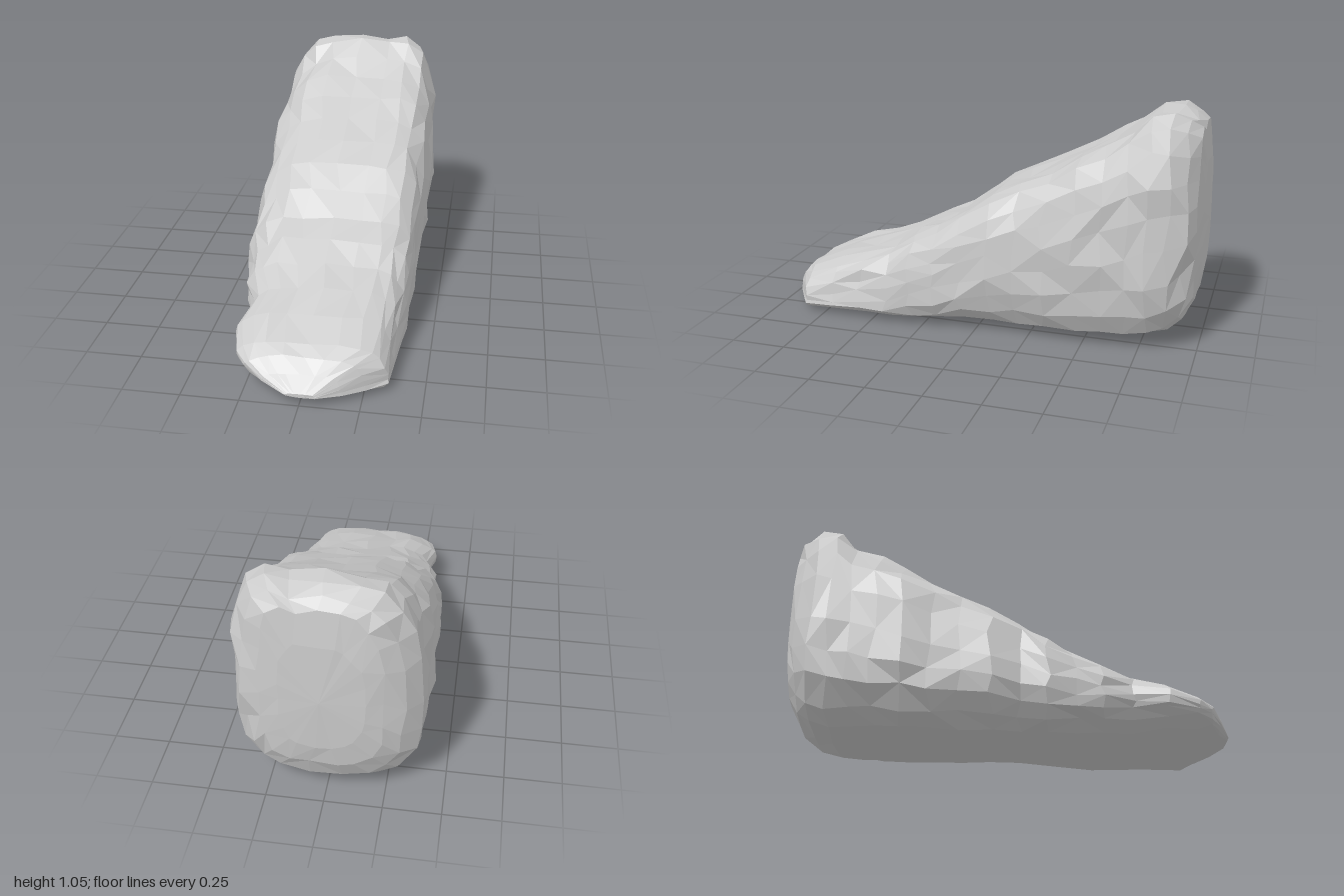
import * as THREE from 'three';

// Cross-sections from front toe to back wall: z, left x, right x, bottom y, top y
const SECTIONS = [
  [1.0, -0.06, 0.07, 0.043, 0.06],
  [0.95, -0.17, 0.17, 0.035, 0.12],
  [0.90, -0.25, 0.26, 0.03, 0.17],
  [0.84, -0.30, 0.35, 0.027, 0.20],
  [0.70, -0.33, 0.36, 0.022, 0.255],
  [0.56, -0.30, 0.37, 0.016, 0.305],
  [0.42, -0.35, 0.38, 0.01, 0.355],
  [0.30, -0.36, 0.39, 0.006, 0.41],
  [0.18, -0.395, 0.405, 0.012, 0.46],
  [0.06, -0.365, 0.395, 0.025, 0.55],
  [-0.07, -0.405, 0.395, 0.025, 0.635],
  [-0.20, -0.39, 0.40, 0.025, 0.70],
  [-0.33, -0.395, 0.41, 0.022, 0.765],
  [-0.46, -0.41, 0.41, 0.025, 0.835],
  [-0.58, -0.405, 0.41, 0.025, 0.905],
  [-0.69, -0.395, 0.405, 0.025, 0.965],
  [-0.78, -0.395, 0.405, 0.025, 1.04],
  [-0.86, -0.385, 0.385, 0.05, 1.04],
  [-0.93, -0.325, 0.335, 0.10, 1.015],
  [-0.97, -0.25, 0.26, 0.20, 0.98],
  [-0.99, -0.17, 0.18, 0.31, 0.82],
];

// Outlines of a section, anticlockwise from the right wall: x -1..1, y 0..1
const BODY = [
  [1, 0.45], [0.99, 0.6], [0.97, 0.73], [0.91, 0.86], [0.79, 0.96], [0.6, 1],
  [0.35, 0.99], [0, 1], [-0.35, 0.99], [-0.58, 0.965], [-0.76, 0.9], [-0.9, 0.8],
  [-0.97, 0.65], [-1, 0.45], [-1, 0.3], [-0.95, 0.18], [-0.8, 0.07], [-0.55, 0.01],
  [-0.2, 0], [0.2, 0], [0.55, 0.015], [0.79, 0.06], [0.92, 0.16], [0.985, 0.29],
];
const TOE = [
  [1, 0.18], [0.98, 0.35], [0.94, 0.55], [0.88, 0.75], [0.8, 0.9], [0.62, 0.97],
  [0.35, 1], [0, 1], [-0.35, 0.99], [-0.58, 0.96], [-0.76, 0.88], [-0.9, 0.76],
  [-0.97, 0.65], [-1, 0.55], [-0.97, 0.45], [-0.9, 0.36], [-0.78, 0.25], [-0.55, 0.13],
  [-0.2, 0.04], [0.2, 0], [0.55, 0], [0.8, 0], [0.93, 0.02], [0.99, 0.07],
];
const SIDES = BODY.length;

function seeded(seed) {
  return () => {
    seed = (seed * 16807) % 2147483647;
    return seed / 2147483647 - 0.5;
  };
}

function rockGeometry() {
  const rnd = seeded(4711);
  const { lerp, smoothstep, clamp } = THREE.MathUtils;
  const pos = [];
  const index = [];

  // each section blends from the body outline to the toe outline, then is chipped
  for (const [z, x0, x1, y0, y1] of SECTIONS) {
    const toe = smoothstep(z, 0.05, 0.85);
    const rough = 0.024 * Math.min(1, (y1 - y0) / 0.35);
    const depth = z < -0.95 ? 0.006 : rough * 1.3;
    for (let j = 0; j < SIDES; j++) {
      const u = lerp(BODY[j][0], TOE[j][0], toe);
      const v = lerp(BODY[j][1], TOE[j][1], toe);
      pos.push(
        lerp(x0, x1, (u + 1) / 2) + rnd() * rough,
        Math.max(0, lerp(y0, y1, v) + rnd() * rough),
        clamp(z + rnd() * depth, -0.99, 1)
      );
    }
  }

  // skin between neighbouring sections, with varied diagonals
  for (let i = 0; i < SECTIONS.length - 1; i++) {
    for (let j = 0; j < SIDES; j++) {
      const k = (j + 1) % SIDES;
      const a = i * SIDES + j, b = i * SIDES + k;
      const c = a + SIDES, d = b + SIDES;
      if (rnd() > 0) index.push(a, c, b, b, c, d);
      else index.push(a, c, d, a, d, b);
    }
  }

  // both ends closed with a fan around a centre point
  const last = (SECTIONS.length - 1) * SIDES;
  const centre = last + SIDES;
  pos.push(0, 0.05, 1, 0.01, 0.55, -1);
  for (let j = 0; j < SIDES; j++) {
    const k = (j + 1) % SIDES;
    index.push(centre, j, k, centre + 1, last + k, last + j);
  }

  const geo = new THREE.BufferGeometry();
  geo.setAttribute('position', new THREE.Float32BufferAttribute(pos, 3));
  geo.setIndex(index);
  const flat = geo.toNonIndexed();
  flat.computeVertexNormals();
  return flat;
}

export function createModel() {
  const group = new THREE.Group();
  group.name = 'wedgeRock';
  const rock = new THREE.Mesh(
    rockGeometry(),
    new THREE.MeshStandardMaterial({ color: 0xcccccc, flatShading: true })
  );
  rock.name = 'rock';
  group.add(rock);
  return group;
}
